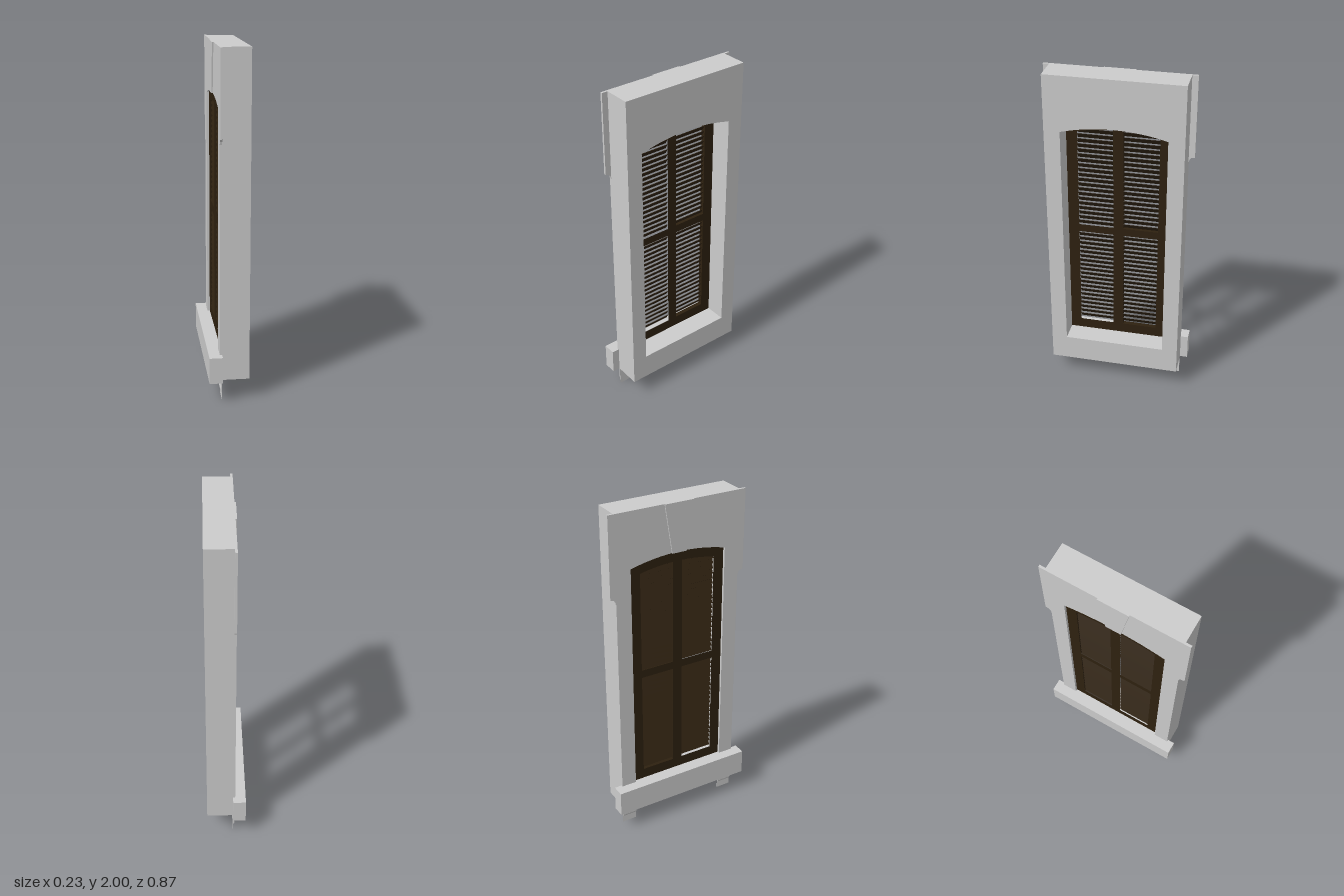
import * as THREE from 'three';

const ARCH_Y = 0.57; // common centre height of the shallow arches

export function createModel() {
  const root = new THREE.Group();
  const stone = new THREE.MeshStandardMaterial({ color: 0xcccccc, name: 'paleStone' });
  const wood = new THREE.MeshStandardMaterial({ color: 0x2e2110, name: 'darkWood' });

  const add = (name, geometry, material, parent = root) => {
    const mesh = new THREE.Mesh(geometry, material);
    mesh.name = name;
    parent.add(mesh);
    return mesh;
  };
  const box = (x0, x1, y0, y1, z0, z1) =>
    new THREE.BoxGeometry(x1 - x0, y1 - y0, z1 - z0)
      .translate((x0 + x1) / 2, (y0 + y1) / 2, (z0 + z1) / 2);

  // Outline in the wall plane, flat at the bottom and arched (or flat) on top
  const outline = (a, b, y0, { radius, top }) => {
    const pts = [new THREE.Vector2(a, y0), new THREE.Vector2(b, y0)];
    const n = radius ? 16 : 1;
    for (let i = 0; i <= n; i++) {
      const u = b + (a - b) * i / n;
      pts.push(new THREE.Vector2(u, radius ? ARCH_Y + Math.sqrt(radius * radius - u * u) : top));
    }
    return pts;
  };
  // Extrude an outline (drawn in -z, y) through the wall from x0 to x1
  const slab = (points, x0, x1, holes = []) => {
    const shape = new THREE.Shape(points);
    holes.forEach(h => shape.holes.push(new THREE.Path(h)));
    return new THREE.ExtrudeGeometry(shape, { depth: x1 - x0, bevelEnabled: false })
      .rotateY(Math.PI / 2).translate(x0, 0, 0);
  };

  // Stone surround with arched opening
  add('surround', slab(outline(-0.392, 0.392, 0.122, { top: 2 }), -0.055, 0.115,
    [outline(-0.3, 0.3, 0.277, { radius: 1.145 })]), stone);

  // Projecting sill
  add('sill', box(-0.118, -0.042, 0.122, 0.277, -0.437, 0.437), stone);

  // Tapered keystone
  add('keystone', slab([[-0.045, 1.713], [0.045, 1.713], [0.09, 2], [-0.09, 2]]
    .map(p => new THREE.Vector2(...p)), -0.063, -0.055), stone);

  for (const s of [-1, 1]) {
    // Lintel ears, each ending in a small cove
    const ear = [[0.385, 2], [0.385, 1.485], [0.392, 1.485], [0.396, 1.503], [0.406, 1.515], [0.427, 1.52], [0.427, 2]];
    add('lintelEar', slab(ear.map(([u, y]) => new THREE.Vector2(s * u, y)), -0.055, -0.042), stone);

    // Thin bracket under the sill with a curved front
    const profile = new THREE.Shape();
    profile.moveTo(-0.041, 0);
    profile.lineTo(-0.041, 0.122);
    profile.lineTo(-0.044, 0.122);
    profile.quadraticCurveTo(-0.045, 0.105, -0.049, 0.098);
    profile.quadraticCurveTo(-0.043, 0.085, -0.05, 0.068);
    profile.quadraticCurveTo(-0.054, 0.05, -0.043, 0.042);
    profile.lineTo(-0.043, 0);
    add('sillBracket', new THREE.ExtrudeGeometry(profile, { depth: 0.09, bevelEnabled: false, curveSegments: 5 })
      .translate(0, 0, s > 0 ? 0.3 : -0.39), stone);

    // Shutter leaf with two louvred panels
    const leaf = new THREE.Group();
    leaf.name = 'shutterLeaf';
    root.add(leaf);
    add('shutterFrame', slab(outline(0, s * 0.3, 0.277, { radius: 1.145 }), -0.04, -0.013, [
      outline(s * 0.03, s * 0.236, 0.34, { top: 0.98 }),
      outline(s * 0.03, s * 0.236, 1.028, { radius: 1.085 }),
    ]), wood, leaf);

    // Louvres slope down towards the outer face
    const slat = new THREE.BoxGeometry(0.033, 0.003, 0.21).rotateZ(1.05);
    for (const start of [0.367, 1.042]) {
      for (let i = 0; i < 21; i++) {
        add('louvre', slat, wood, leaf).position.set(-0.0265, start + i * 0.031, s * 0.133);
      }
    }
  }
  return root;
}
